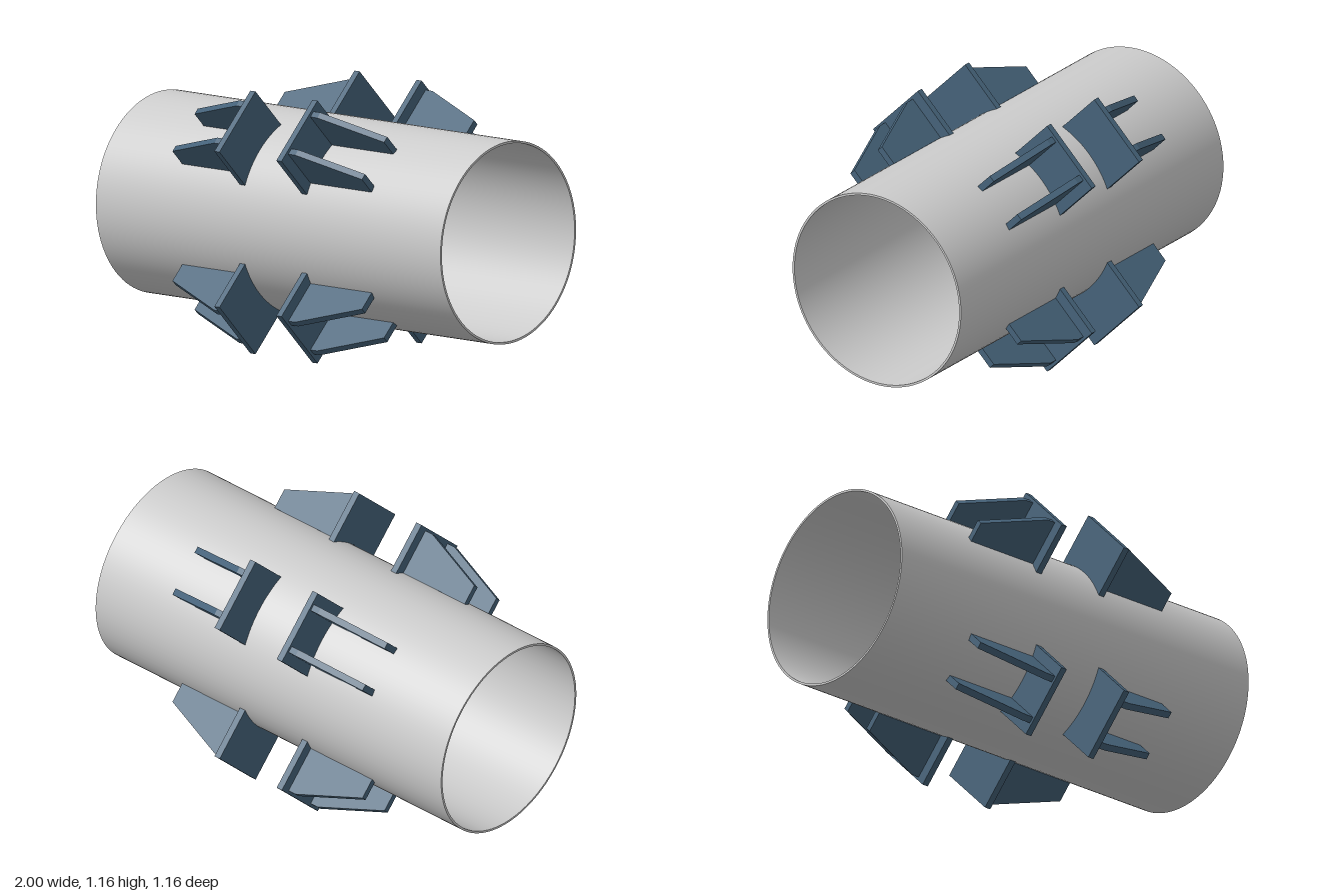
import * as THREE from 'three';
import { toCreasedNormals } from 'three/addons/utils/BufferGeometryUtils.js';

const R = 0.447, WALL = 0.01, CENTRE_Y = 0.583;

function extrude(shape, depth, curveSegments = 12) {
  return new THREE.ExtrudeGeometry(shape, { depth, bevelEnabled: false, curveSegments });
}

// Open pipe: ring section swept along x
function pipeGeometry() {
  const ring = new THREE.Shape().absarc(0, 0, R, 0, Math.PI * 2, false);
  ring.holes.push(new THREE.Path().absarc(0, 0, R - WALL, 0, Math.PI * 2, true));
  const geo = extrude(ring, 2, 48);
  geo.translate(0, 0, -1).rotateY(Math.PI / 2);
  return toCreasedNormals(geo, 0.6);
}

// Flange plate: square outer edge, inner edge saddled onto the pipe
function plateGeometry() {
  const half = 0.168, top = 0.653, a = Math.asin(half / R);
  const s = new THREE.Shape();
  s.moveTo(half, top);
  s.lineTo(-half, top);
  s.absarc(0, 0, R, Math.PI / 2 + a, Math.PI / 2 - a, true);
  s.closePath();
  return extrude(s, 0.03, 16).rotateY(Math.PI / 2).translate(0.165, 0, 0);
}

// Tapered gusset rib, drawn as axial distance against radius
function ribGeometry() {
  const thickness = 0.03;
  const s = new THREE.Shape([
    [0.195, 0.432], [0.55, 0.432], [0.55, 0.523], [0.235, 0.64], [0.195, 0.64],
  ].map(([x, y]) => new THREE.Vector2(x, y)));
  return extrude(s, thickness).translate(0, 0, -thickness / 2);
}

export function createModel() {
  const model = new THREE.Group();
  model.name = 'pipeWithBrackets';
  const grey = new THREE.MeshStandardMaterial({ color: 0xcccccc });
  const blue = new THREE.MeshStandardMaterial({ color: 0x46637a });

  const body = new THREE.Group();
  body.name = 'body';
  body.position.y = CENTRE_Y;
  model.add(body);

  const pipe = new THREE.Mesh(pipeGeometry(), grey);
  pipe.name = 'pipe';
  body.add(pipe);

  const plateGeo = plateGeometry(), ribGeo = ribGeometry();

  // Four bracket pairs on the diagonals, each pair facing away along x
  for (let i = 0; i < 4; i++) {
    const pair = new THREE.Group();
    pair.name = `bracketPair${i + 1}`;
    pair.rotation.x = Math.PI / 4 + i * Math.PI / 2;
    body.add(pair);
    for (const turn of [0, Math.PI]) {
      const bracket = new THREE.Group();
      bracket.name = turn ? 'rightBracket' : 'leftBracket';
      bracket.rotation.y = turn;
      pair.add(bracket);

      const plate = new THREE.Mesh(plateGeo, blue);
      plate.name = 'flangePlate';
      bracket.add(plate);

      for (const side of [-1, 1]) {
        const rib = new THREE.Mesh(ribGeo, blue);
        rib.name = 'gussetRib';
        rib.position.z = side * 0.103;
        bracket.add(rib);
      }
    }
  }
  return model;
}
